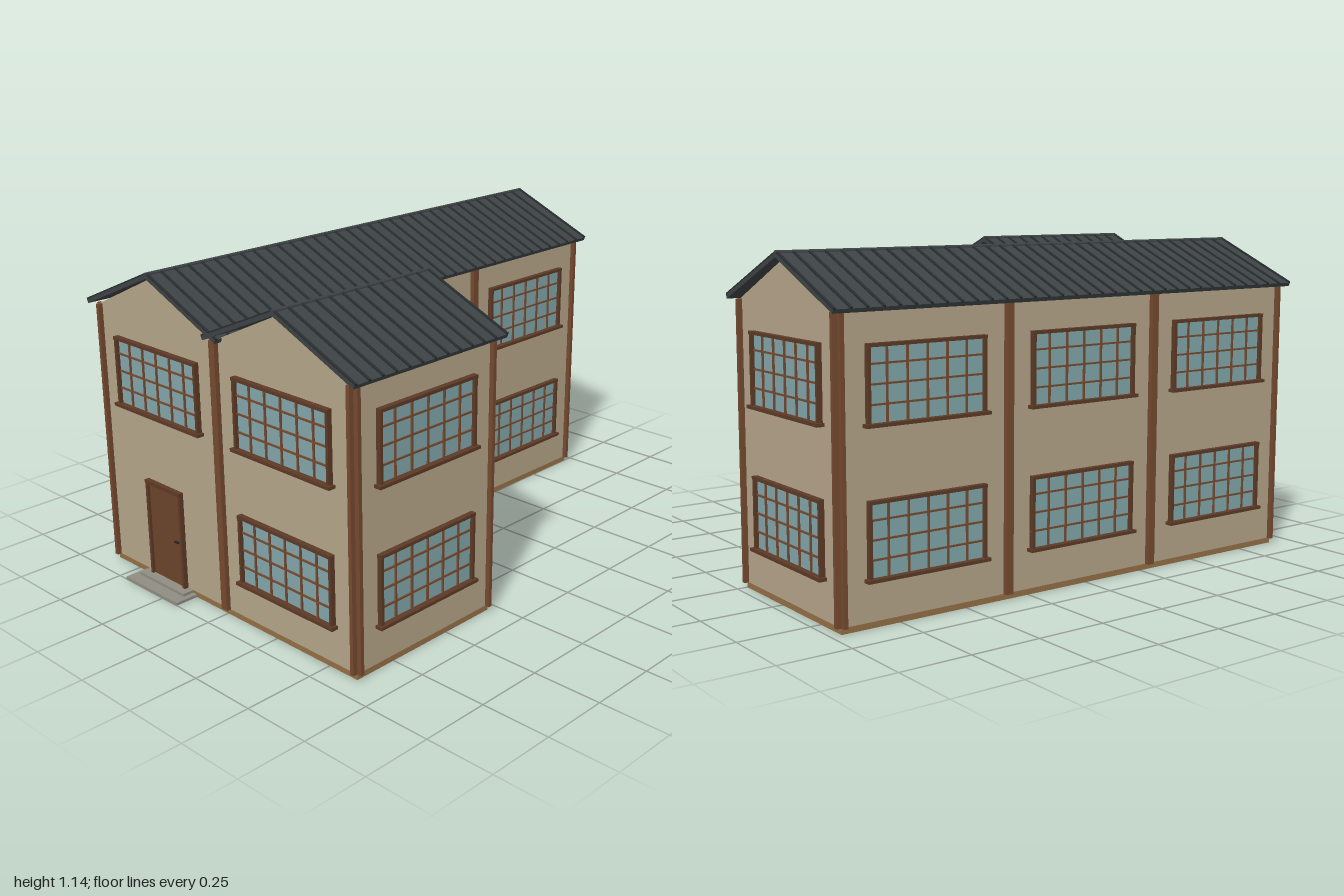
import * as THREE from 'three';

const mat = (name, color, side = THREE.FrontSide) => {
  const m = new THREE.MeshStandardMaterial({ color, side });
  m.name = name;
  return m;
};
const M = {
  wall: mat('plaster', 0xb5a589),
  base: mat('plinth', 0x957046),
  trim: mat('trim wood', 0x754a30),
  frame: mat('dark frame wood', 0x5c3a26),
  glass: mat('glass', 0x82a7aa),
  door: mat('door wood', 0x6c442b),
  roof: mat('roof metal', 0x3d4244),
  seam: mat('roof seam', 0x2a2e2f),
  stone: mat('step stone', 0x8f8c82),
  handle: mat('handle', 0x2b211b),
};

const BAY = 0.625, HALF = BAY / 2;
const FRONT = 0.912, MID = FRONT - BAY, BACK = FRONT - 3 * BAY;
const BASE_H = 0.02, WALL_TOP = 0.975;

// Box given by its minimum and maximum corners
function box(parent, name, material, x0, x1, y0, y1, z0, z1) {
  const mesh = new THREE.Mesh(new THREE.BoxGeometry(x1 - x0, y1 - y0, z1 - z0), material);
  mesh.position.set((x0 + x1) / 2, (y0 + y1) / 2, (z0 + z1) / 2);
  mesh.name = name;
  parent.add(mesh);
  return mesh;
}

// Group placed on a facade; its local +z points out of the wall
function onWall(parent, name, x, z, turn) {
  const g = new THREE.Group();
  g.name = name;
  g.position.set(x, 0, z);
  g.rotation.y = turn;
  parent.add(g);
  return g;
}

// Paned window, six by four, with a projecting sill
function addWindow(parent, y0) {
  const g = new THREE.Group();
  g.name = 'window';
  const w = 0.22, h = 0.248, t = 0.011, d = 0.018;
  box(g, 'glass', M.glass, -w + 0.004, w - 0.004, 0.004, h - 0.004, -0.003, 0.005);
  for (const s of [-1, 1]) {
    const x = s * (w - t / 2);
    box(g, 'frameSide', M.frame, x - t / 2, x + t / 2, 0, h, 0, d);
  }
  box(g, 'frameTop', M.frame, -w, w, h - t, h, 0, d + 0.002);
  box(g, 'sill', M.frame, -w - 0.01, w + 0.01, -0.005, 0.006, 0, d + 0.009);
  for (let i = 1; i < 6; i++) {
    const x = -w + (2 * w * i) / 6;
    box(g, 'verticalBar', M.trim, x - 0.003, x + 0.003, 0, h, 0, 0.011);
  }
  for (let j = 1; j < 4; j++) {
    const y = (h * j) / 4;
    box(g, 'horizontalBar', M.trim, -w, w, y - 0.003, y + 0.003, 0, 0.010);
  }
  g.position.y = y0;
  parent.add(g);
}

// Gabled top of one wing, running from z0 to z1 around the ridge at x
function addRoof(parent, x, z0, z1) {
  const g = new THREE.Group();
  g.name = 'roof';
  g.position.x = x;
  parent.add(g);

  // Gable prism standing on the walls
  const tri = new THREE.Shape();
  tri.moveTo(-HALF, WALL_TOP);
  tri.lineTo(HALF, WALL_TOP);
  tri.lineTo(0, 1.122);
  tri.closePath();
  const gable = new THREE.Mesh(
    new THREE.ExtrudeGeometry(tri, { depth: z1 - z0, bevelEnabled: false }), M.wall);
  gable.position.z = z0;
  gable.name = 'gable';
  g.add(gable);

  // Two slopes with standing seams
  const over = 0.033, a = z0 - over, b = z1 + over * 0.85;
  const run = 0.348, rise = 0.151, len = Math.hypot(run, rise), thick = 0.014;
  for (const s of [-1, 1]) {
    const slope = new THREE.Group();
    slope.name = s < 0 ? 'rightSlope' : 'leftSlope';
    slope.position.set(0, 1.138, 0);
    slope.rotation.z = -s * Math.atan2(rise, run);
    const [x0, x1] = s > 0 ? [0, len] : [-len, 0];
    box(slope, 'panel', M.roof, x0, x1, -thick, 0, a, b);
    const n = Math.round((b - a) / 0.0575);
    for (let i = 0; i <= n; i++) {
      const z = a + 0.005 + ((b - a - 0.01) * i) / n;
      box(slope, 'seam', M.seam, x0, x1, -0.002, 0.005, z - 0.0045, z + 0.0045);
    }
    g.add(slope);
  }
  const cap = new THREE.Mesh(new THREE.CylinderGeometry(0.008, 0.008, b - a, 8), M.roof);
  cap.rotation.x = Math.PI / 2;
  cap.position.set(0, 1.136, (a + b) / 2);
  cap.name = 'ridgeCap';
  g.add(cap);
}

export function createModel() {
  const house = new THREE.Group();
  house.name = 'house';

  // Two wings forming an L
  const wings = [[-BAY, 0, BACK, FRONT], [0, BAY, MID, FRONT]];
  for (const [x0, x1, z0, z1] of wings) {
    box(house, 'plinth', M.base, x0, x1, 0, BASE_H, z0, z1);
    box(house, 'walls', M.wall, x0, x1, BASE_H, WALL_TOP, z0, z1);
    addRoof(house, (x0 + x1) / 2, z0, z1);
  }

  // Facade bays: x, z, turn, has door, pilaster at either end (0 none, 0.5 half, 1 full)
  const Q = Math.PI / 2;
  const bays = [
    [-HALF, FRONT, 0, true, 0.5, 1], [HALF, FRONT, 0, false, 0, 0.5],
    [HALF, MID, 2 * Q, false, 0.5, 0], [-HALF, BACK, 2 * Q, false, 0.5, 0.5],
    [BAY, FRONT - HALF, Q, false, 0.5, 0.5],
    [0, MID - HALF, Q, false, 0, 1], [0, MID - 3 * HALF, Q, false, 0, 0.5],
    [-BAY, FRONT - HALF, -Q, false, 1, 0.5],
    [-BAY, MID - HALF, -Q, false, 1, 0], [-BAY, MID - 3 * HALF, -Q, false, 0.5, 0],
  ];
  const P = 0.014;
  for (const [x, z, turn, hasDoor, start, end] of bays) {
    const f = onWall(house, 'facadeBay', x, z, turn);
    addWindow(f, 0.63);
    if (!hasDoor) addWindow(f, 0.153);
    if (start) box(f, 'pilaster', M.trim, -HALF - (start === 1 ? P : 0), -HALF + P, BASE_H, WALL_TOP, -0.002, 0.017);
    if (end) box(f, 'pilaster', M.trim, HALF - P, HALF + (end === 1 ? P : 0), BASE_H, WALL_TOP, -0.002, 0.017);
  }

  // Front door with frame and handle
  const door = onWall(house, 'door', -0.3125, FRONT, 0);
  box(door, 'doorLeaf', M.door, -0.085, 0.085, BASE_H, 0.37, -0.002, 0.007);
  for (const s of [-1, 1]) {
    box(door, 'doorFrameSide', M.frame, s * 0.09 - 0.006, s * 0.09 + 0.006, BASE_H, 0.38, 0, 0.016);
  }
  box(door, 'doorFrameTop', M.frame, -0.096, 0.096, 0.368, 0.381, 0, 0.018);
  box(door, 'handle', M.handle, 0.05, 0.07, 0.184, 0.189, 0.005, 0.016);

  // Entrance steps
  box(house, 'lowerStep', M.stone, -0.46, -0.17, 0, 0.01, FRONT, 1);
  box(house, 'upperStep', M.stone, -0.44, -0.19, 0.01, 0.02, FRONT, 0.955);

  return house;
}
